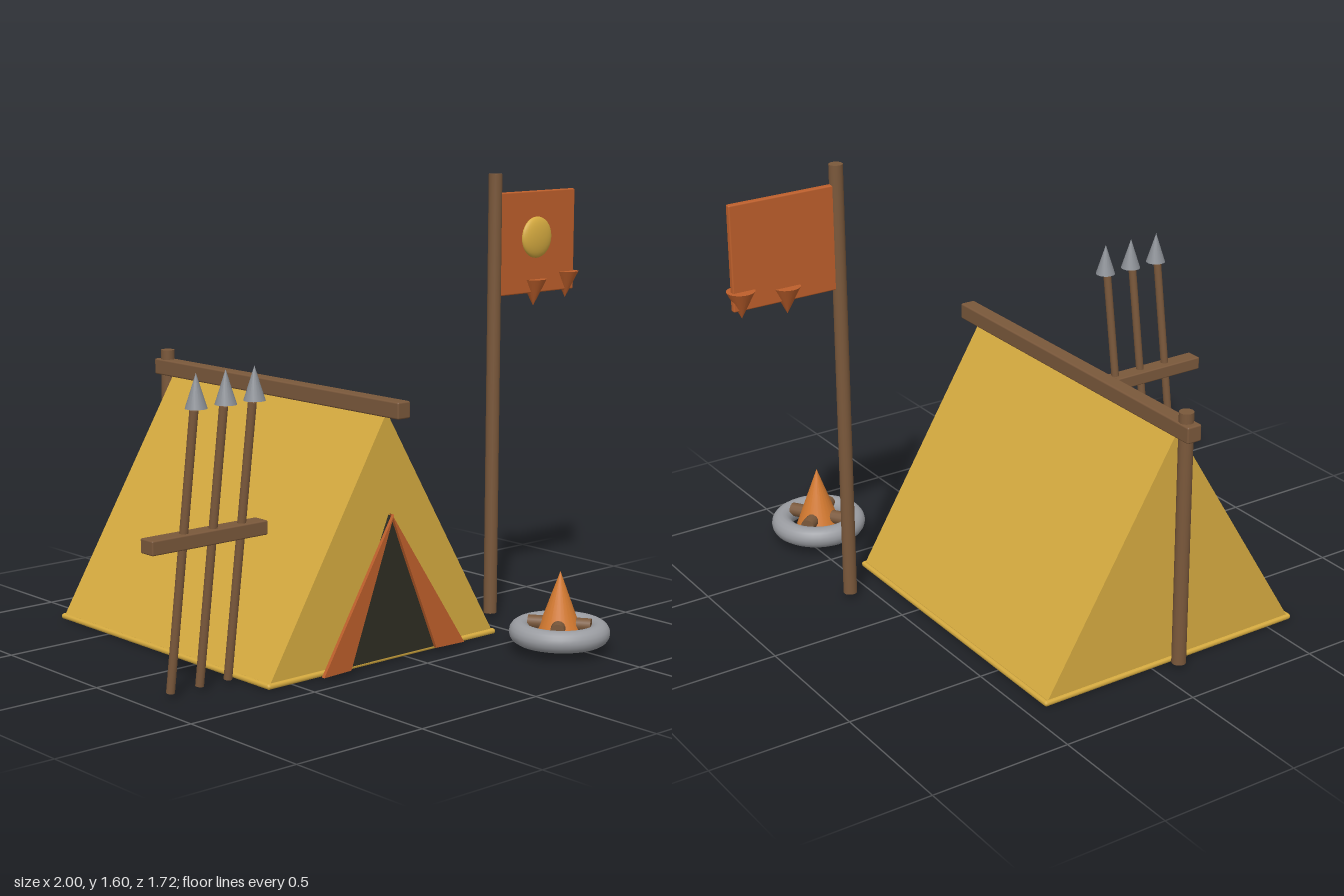
import * as THREE from 'three';
import { RoundedBoxGeometry } from 'three/addons/geometries/RoundedBoxGeometry.js';

export function createModel() {
  const model = new THREE.Group();
  model.name = 'camp';

  const material = (name, color, side = THREE.FrontSide) => {
    const m = new THREE.MeshStandardMaterial({ color, side });
    m.name = name;
    return m;
  };
  const canvas = material('yellow canvas', 0xd6ab40, THREE.DoubleSide);
  const wood = material('brown wood', 0x7a583b);
  const cloth = material('orange cloth', 0xbd5f2b);
  const fire = material('flame orange', 0xd47a30);
  const dark = material('dark opening', 0x2e2d23);
  const stone = material('grey stone', 0x9a9ca1);
  const metal = material('spear metal', 0x8b8f95);

  const add = (parent, name, geometry, mat, x = 0, y = 0, z = 0) => {
    const mesh = new THREE.Mesh(geometry, mat);
    mesh.name = name;
    mesh.position.set(x, y, z);
    parent.add(mesh);
    return mesh;
  };
  const group = (name) => {
    const g = new THREE.Group();
    g.name = name;
    model.add(g);
    return g;
  };
  // Round pole between two points
  const pole = (parent, name, a, b, radius, mat, sides = 16) => {
    const from = new THREE.Vector3(...a), to = new THREE.Vector3(...b);
    const dir = to.clone().sub(from);
    const mid = from.clone().add(to).multiplyScalar(0.5);
    const mesh = add(parent, name, new THREE.CylinderGeometry(radius, radius, dir.length(), sides), mat, mid.x, mid.y, mid.z);
    mesh.quaternion.setFromUnitVectors(new THREE.Vector3(0, 1, 0), dir.normalize());
    return mesh;
  };
  // Thin triangular plate
  const plate = (points, depth) => new THREE.ExtrudeGeometry(
    new THREE.Shape(points.map(([x, y]) => new THREE.Vector2(x, y))), { depth, bevelEnabled: false });

  // Tent shell: two slopes and two gables, open underneath
  const tent = group('tent');
  const cx = -0.085, half = 0.51, apex = 0.85, front = 0.385, back = -0.775;
  const L = (z) => [cx + half, 0.008, z], R = (z) => [cx - half, 0.008, z], T = (z) => [cx, apex, z];
  const shell = new THREE.BufferGeometry();
  shell.setAttribute('position', new THREE.Float32BufferAttribute([
    R(front), L(front), T(front),
    L(back), R(back), T(back),
    L(front), L(back), T(back), L(front), T(back), T(front),
    R(back), R(front), T(front), R(back), T(front), T(back),
  ].flat(), 3));
  shell.computeVertexNormals();
  add(tent, 'tentCanvas', shell, canvas);

  // Rounded hem along the ground
  const corners = [L(front), L(back), R(back), R(front)];
  corners.forEach((c, i) => {
    c[1] = 0.01;
    const next = [...corners[(i + 1) % 4]];
    next[1] = 0.01;
    pole(tent, 'hem', c, next, 0.01, canvas, 8);
    add(tent, 'hemCorner', new THREE.SphereGeometry(0.01, 8, 6), canvas, ...c);
  });

  // Ridge beam and rear post
  add(tent, 'ridgeBeam', new RoundedBoxGeometry(0.056, 0.058, 1.33, 2, 0.006), wood, cx, 0.866, -0.195);
  pole(tent, 'rearPost', [cx, 0.015, -0.815], [cx, 0.93, -0.815], 0.025, wood);

  // Dark doorway with a folded flap on each side
  add(tent, 'doorway', plate([[-0.215, 0.015], [0.215, 0.015], [0, 0.505]], 0.008), dark, cx, 0, 0.395);
  for (const side of [-1, 1]) {
    const points = [[0, 0.51], [side * 0.2, 0.015], [side * 0.325, 0.015]];
    const flap = plate(points, 0.012);
    const p = flap.attributes.position;
    for (let i = 0; i < p.count; i++) p.setZ(i, p.getZ(i) + Math.abs(p.getX(i)) * 0.06);
    flap.computeVertexNormals();
    add(tent, side > 0 ? 'leftFlap' : 'rightFlap', flap, cloth, cx, 0, side > 0 ? 0.4 : 0.412);
  }

  // Flag with a domed disc and two pointed tassels
  const flag = group('flag');
  pole(flag, 'flagPole', [0.58, 0.018, 0.22], [0.58, 1.6, 0.22], 0.024, wood);
  add(flag, 'banner', new RoundedBoxGeometry(0.385, 0.365, 0.022, 2, 0.005), cloth, 0.787, 1.35, 0.22);
  const disc = add(flag, 'bannerDisc', new THREE.SphereGeometry(0.074, 28, 16), canvas, 0.78, 1.367, 0.232);
  disc.scale.z = 0.3;
  for (const [x, y] of [[0.78, 1.168], [0.947, 1.186]]) {
    const tassel = add(flag, 'tassel', new THREE.ConeGeometry(0.048, 0.096, 20), cloth, x, y, 0.22);
    tassel.rotation.x = Math.PI;
  }

  // Spear rack
  const rack = group('spearRack');
  add(rack, 'rackBar', new RoundedBoxGeometry(0.462, 0.048, 0.064, 2, 0.005), wood, -0.769, 0.515, 0.283);
  for (const x of [-0.837, -0.72, -0.604]) {
    pole(rack, 'spearShaft', [x - 0.047, 0.015, 0.243], [x - 0.002, 0.932, 0.322], 0.0145, wood, 12);
    add(rack, 'spearHead', new THREE.ConeGeometry(0.036, 0.112, 16), metal, x, 0.995, 0.331);
  }

  // Campfire: stone ring, crossed logs and flame
  const campfire = group('campfire');
  campfire.position.set(0.446, 0, 0.685);
  const ring = add(campfire, 'stoneRing', new THREE.TorusGeometry(0.135, 0.038, 16, 40), stone, 0, 0.067, 0);
  ring.rotation.x = Math.PI / 2;
  for (const angle of [0.68, -0.98]) {
    const dx = Math.cos(angle) * 0.108, dz = -Math.sin(angle) * 0.108;
    pole(campfire, 'log', [-dx, 0.095, -dz], [dx, 0.095, dz], 0.025, wood, 12);
  }
  add(campfire, 'flame', new THREE.ConeGeometry(0.08, 0.22, 24), fire, 0, 0.17, 0);

  return model;
}
